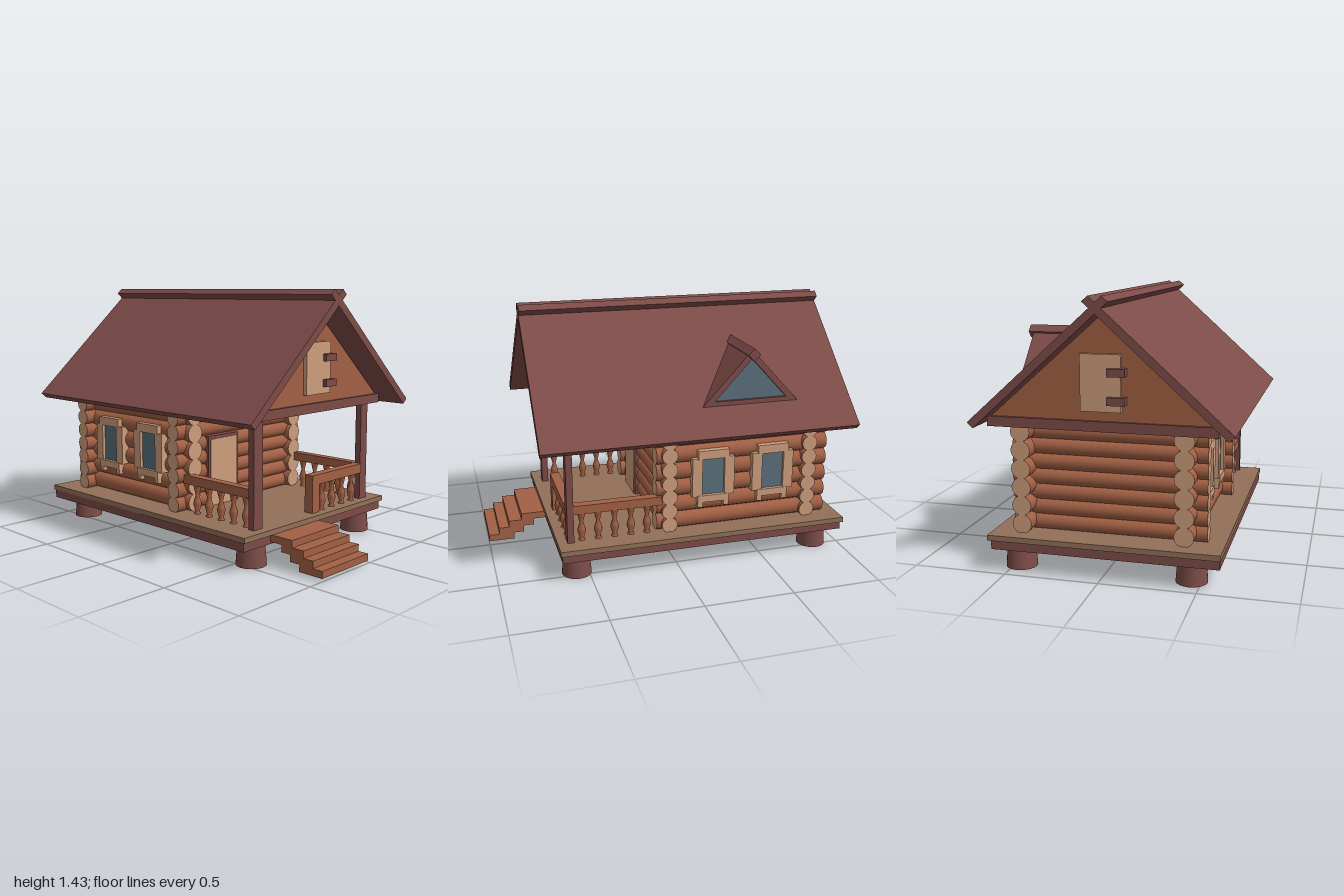
import * as THREE from 'three';

const mat = (name, color) => Object.assign(new THREE.MeshStandardMaterial({ color }), { name });

export function createModel() {
  const model = new THREE.Group();
  model.name = 'logCabin';
  const darkWood = mat('darkRedWood', 0x7d4c48);
  const logWood = mat('logWood', 0xa26044);
  const paleWood = mat('paleWood', 0xcd9e7d);
  const floorWood = mat('floorWood', 0x927059);
  const glass = mat('glass', 0x5a6f7c);

  const add = (name, geo, material, parent = model) => {
    const m = new THREE.Mesh(geo, material);
    m.name = name;
    parent.add(m);
    return m;
  };
  // box given by its limits
  const box = (name, material, x0, x1, y0, y1, z0, z1, parent) => {
    const m = add(name, new THREE.BoxGeometry(x1 - x0, y1 - y0, z1 - z0), material, parent);
    m.position.set((x0 + x1) / 2, (y0 + y1) / 2, (z0 + z1) / 2);
    return m;
  };
  const shapeOf = (pts) => new THREE.Shape(pts.map(([x, y]) => new THREE.Vector2(x, y)));
  const extrude = (shape, depth) => new THREE.ExtrudeGeometry(shape, { depth, bevelEnabled: false });

  // feet, base and floor
  for (const x of [-0.45, 0.463]) for (const z of [0.565, -0.85]) {
    add('foot', new THREE.CylinderGeometry(0.073, 0.083, 0.125, 20), darkWood).position.set(x, 0.0625, z);
  }
  box('base', darkWood, -0.61, 0.58, 0.12, 0.168, -0.975, 0.66);
  box('floor', floorWood, -0.615, 0.597, 0.168, 0.197, -0.985, 0.67);

  // steps
  [1.0, 0.94, 0.88, 0.805].forEach((front, i) => {
    const y = 0.015 + i * 0.0385;
    box('step', logWood, -0.405, -0.017, y, y + 0.0385, front - 0.147, front);
  });

  // log walls with pale cut ends
  const logMats = [logWood, paleWood, paleWood];
  for (const z of [0.04, -0.79]) for (let i = 0; i < 7; i++) {
    const geo = new THREE.CylinderGeometry(0.045, 0.045, 1.03, 16).rotateZ(Math.PI / 2);
    add('crossLog', geo, logMats).position.set(-0.008, 0.236 + i * 0.0813, z);
  }
  for (const x of [-0.417, 0.435]) for (let i = 0; i < 6; i++) {
    const geo = new THREE.CylinderGeometry(0.052, 0.052, 1.015, 16).rotateX(Math.PI / 2);
    add('sideLog', geo, logMats).position.set(x, 0.244 + i * 0.0975, -0.3975);
  }

  // door
  box('doorFrame', darkWood, -0.3, -0.057, 0.197, 0.6, 0.03, 0.094);
  box('door', paleWood, -0.284, -0.072, 0.197, 0.583, 0.09, 0.1);

  // windows, built facing +x and turned round for the other wall
  for (const [x, turn] of [[0.435, 0], [-0.417, Math.PI]]) for (const z of [-0.211, -0.565]) {
    const w = new THREE.Group();
    w.name = 'window';
    w.position.set(x, 0, z);
    w.rotation.y = turn;
    model.add(w);
    box('pane', glass, 0, 0.058, 0.39, 0.61, -0.068, 0.068, w);
    box('lintel', paleWood, 0.03, 0.08, 0.61, 0.66, -0.091, 0.091, w);
    box('sill', paleWood, 0.03, 0.08, 0.355, 0.395, -0.091, 0.091, w);
    for (const s of [-1, 1]) {
      box('sideBoard', paleWood, 0.03, 0.076, 0.39, 0.615, s * 0.094 - 0.029, s * 0.094 + 0.029, w);
      box('sillFoot', paleWood, 0.03, 0.076, 0.325, 0.356, s * 0.076 - 0.015, s * 0.076 + 0.015, w);
    }
  }

  // porch posts
  box('post', darkWood, -0.488, -0.42, 0.197, 0.765, 0.58, 0.617);
  box('post', darkWood, 0.438, 0.5, 0.197, 0.765, 0.58, 0.617);

  // porch railings with turned balusters
  const profile = [[0.02, 0], [0.012, 0.015], [0.024, 0.055], [0.02, 0.075], [0.01, 0.105], [0.018, 0.14], [0.024, 0.165]]
    .map(([r, y]) => new THREE.Vector2(r, y));
  const balusterGeo = new THREE.LatheGeometry(profile, 12);
  const baluster = (x, z) => add('baluster', balusterGeo, logWood).position.set(x, 0.196, z);
  box('frontRail', logWood, -0.017, 0.438, 0.355, 0.41, 0.57, 0.625);
  box('railPost', logWood, -0.017, 0.045, 0.197, 0.356, 0.57, 0.625);
  for (let i = 0; i < 4; i++) baluster(0.098 + i * 0.093, 0.598);
  for (const x of [-0.453, 0.468]) {
    box('sideRail', logWood, x - 0.026, x + 0.026, 0.358, 0.408, 0.08, 0.582);
    for (let i = 0; i < 5; i++) baluster(x, 0.163 + i * 0.0925);
  }

  // ceiling and gables
  box('ceiling', darkWood, -0.59, 0.595, 0.762, 0.814, -0.94, 0.63);
  const gable = add('gable', extrude(shapeOf([[-0.578, 0.813], [0.578, 0.813], [0, 1.326]]), 1.54), logWood);
  gable.position.z = -0.925;

  // attic hatches with hinges, front and back
  for (const [z, turn] of [[0.615, 0], [-0.925, Math.PI]]) {
    const h = new THREE.Group();
    h.name = 'atticHatch';
    h.position.z = z;
    h.rotation.y = turn;
    model.add(h);
    box('hatch', paleWood, -0.096, 0.11, 0.863, 1.147, -0.01, 0.022, h);
    for (const y of [0.92, 1.06]) box('hinge', darkWood, 0.045, 0.136, y - 0.02, y + 0.02, -0.01, 0.045, h);
  }

  // roof slabs crossing at the ridge
  for (const s of [-1, 1]) {
    const pts = [[-0.034, 1.428], [0.677, 0.788], [0.646, 0.76], [-0.065, 1.4]].map(([x, y]) => [s * x, y]);
    add('roofSlab', extrude(shapeOf(pts), 1.77), darkWood).position.z = -1;
  }

  // dormer: triangular frame running back into the roof
  const frame = shapeOf([[-0.278, 0.915], [0.278, 0.915], [0, 1.215]]);
  frame.holes.push(shapeOf([[-0.207, 0.942], [0, 1.168], [0.207, 0.942]]));
  const dormer = add('dormer', extrude(frame, 0.37).rotateY(Math.PI / 2), darkWood);
  dormer.position.set(0.163, 0, -0.407);
  const paneShape = shapeOf([[-0.215, 0.935], [0.215, 0.935], [0, 1.175]]);
  const pane = add('dormerPane', extrude(paneShape, 0.008).rotateY(Math.PI / 2), glass);
  pane.position.set(0.509, 0, -0.407);
  const cap = add('dormerRidge', new THREE.BoxGeometry(0.4, 0.05, 0.05).rotateX(Math.PI / 4), darkWood);
  cap.position.set(0.358, 1.193, -0.41);

  return model;
}
